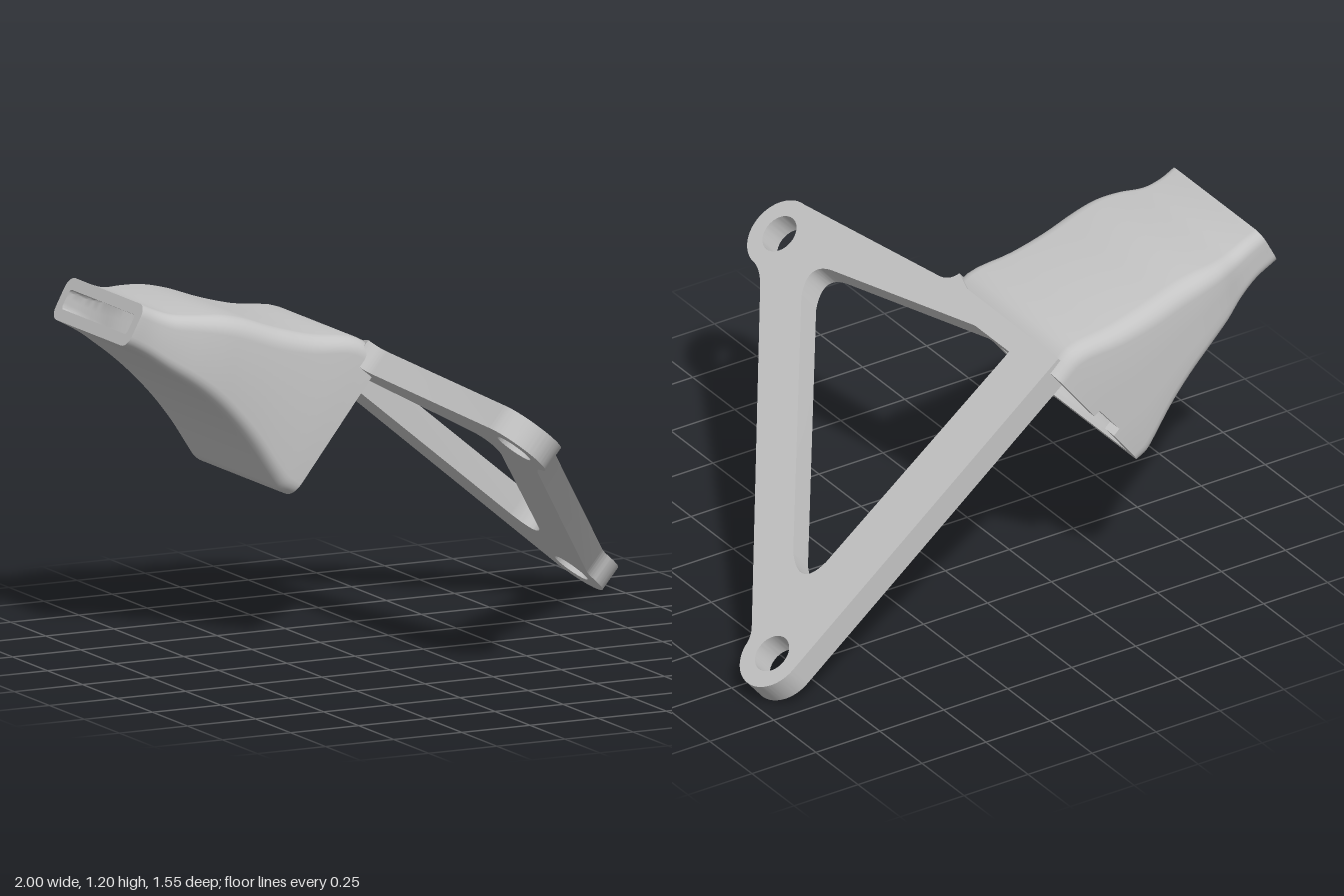
import * as THREE from 'three';
import { toCreasedNormals } from 'three/addons/utils/BufferGeometryUtils.js';

const SLOPE = THREE.MathUtils.degToRad(39.8);
const along = new THREE.Vector3(Math.cos(SLOPE), -Math.sin(SLOPE), 0); // down the plate
const normal = new THREE.Vector3(Math.sin(SLOPE), Math.cos(SLOPE), 0); // out of its top face

// Top edge of the duct: x, y, half width
const topLine = new THREE.CatmullRomCurve3([
  [-0.93, 1.203, 0.272], [-0.88, 1.18, 0.272], [-0.82, 1.16, 0.285], [-0.74, 1.155, 0.315],
  [-0.66, 1.15, 0.33], [-0.58, 1.132, 0.332], [-0.46, 1.09, 0.332], [-0.33, 1.055, 0.332],
  [-0.16, 1.027, 0.332], [-0.085, 0.962, 0.332],
].map(p => new THREE.Vector3(...p)));

// Bottom edge of the duct: x, y, corner radius
const bottomLine = new THREE.CatmullRomCurve3([
  [-1.0, 1.07, 0.04], [-0.92, 1.025, 0.042], [-0.85, 0.975, 0.045], [-0.78, 0.925, 0.05],
  [-0.7, 0.855, 0.06], [-0.62, 0.77, 0.065], [-0.55, 0.68, 0.065], [-0.49, 0.59, 0.06],
  [-0.46, 0.55, 0.055], [-0.42, 0.53, 0.05],
].map(p => new THREE.Vector3(...p)));

const CENTRE_Z = -0.443, WALL = 0.04, STEPS = 36, CORNER = 6;
const NOTCH_END = bottomLine.points[9].x * along.x + bottomLine.points[9].y * along.y - 0.035;

// Rounded rectangle ring of the duct at t, shrunk by inset
function ductRing(t, inset) {
  const T = topLine.getPoint(t), B = bottomLine.getPoint(t);
  const w = T.z - inset, r = Math.max(B.z - inset, 0.012);
  T.z = B.z = CENTRE_Z;
  const up = T.clone().sub(B);
  const h = up.length() / 2 - inset;
  up.normalize();
  const mid = T.add(B).multiplyScalar(0.5);
  const ring = [];
  const add = (v, z) => {
    const p = mid.clone().addScaledVector(up, v);
    p.z += z;
    ring.push(p);
    return p;
  };
  for (let k = 0; k < 4; k++) {
    const sv = k === 0 || k === 3 ? 1 : -1, sz = k < 2 ? 1 : -1;
    for (let i = 0; i <= CORNER; i++) {
      const a = (k + i / CORNER) * Math.PI / 2;
      add(sv * (h - r) + r * Math.cos(a), sz * (w - r) + r * Math.sin(a));
    }
    // Small notch in the rear wall at the outlet
    if (k === 2) [-0.36, -0.355, 0.085, 0.09].forEach((f, i) => {
      const p = add(f * h, -w);
      const over = p.dot(along) - NOTCH_END;
      if ((i === 1 || i === 2) && over > 0) p.addScaledVector(along, -over);
    });
  }
  return ring;
}

// Hollow duct: outer skin forward, inner skin back, joined at both rims
function ductGeometry() {
  const rings = [];
  for (let i = 0; i <= STEPS; i++) rings.push(ductRing(i / STEPS, 0));
  for (let i = STEPS; i >= 0; i--) rings.push(ductRing(i / STEPS, WALL));
  const n = rings[0].length, index = [];
  for (let i = 0; i < rings.length; i++) {
    const next = (i + 1) % rings.length;
    for (let j = 0; j < n; j++) {
      const k = (j + 1) % n;
      const a = i * n + j, b = i * n + k, c = next * n + j, d = next * n + k;
      index.push(a, b, c, b, d, c);
    }
  }
  const geo = new THREE.BufferGeometry().setFromPoints(rings.flat());
  geo.setIndex(index);
  return toCreasedNormals(geo, 0.6);
}

// Triangular plate with two bosses; shape x runs down the slope, y is -z
function plateGeometry() {
  const thickness = 0.09, R = 0.125;
  const shape = new THREE.Shape();
  shape.moveTo(-0.01, 0.742);
  shape.lineTo(1.325, 0.725);
  shape.absarc(1.325, 0.6, R, Math.PI / 2, -1.3, true);
  shape.quadraticCurveTo(1.325, 0.475, 1.3, 0.45);
  shape.lineTo(0.4, -0.55);
  shape.quadraticCurveTo(0.35, -0.605, 0.345, -0.65);
  shape.absarc(0.22, -0.645, R, -0.04, -Math.PI, true);
  shape.lineTo(0.012, 0.06);
  shape.quadraticCurveTo(0.005, 0.11, -0.035, 0.125);
  shape.lineTo(-0.01, 0.2);
  shape.closePath();

  const opening = new THREE.Path();
  opening.moveTo(0.07, 0.543);
  opening.lineTo(0.07, 0.34);
  opening.lineTo(0.21, -0.34);
  opening.quadraticCurveTo(0.235, -0.46, 0.34, -0.375);
  opening.lineTo(1.02, 0.37);
  opening.quadraticCurveTo(1.11, 0.5, 0.98, 0.518);
  opening.closePath();
  shape.holes.push(opening);

  // Bolt holes
  for (const [s, q] of [[0.22, -0.645], [1.325, 0.6]]) {
    const bolt = new THREE.Path();
    bolt.absarc(s, q, 0.066, 0, Math.PI * 2, false);
    shape.holes.push(bolt);
  }

  const geo = new THREE.ExtrudeGeometry(shape, { depth: thickness, bevelEnabled: false, curveSegments: 24 });
  const place = new THREE.Matrix4().makeBasis(along, new THREE.Vector3(0, 0, -1), normal);
  place.setPosition(new THREE.Vector3(-0.11, 1.0, 0).addScaledVector(normal, -thickness));
  geo.applyMatrix4(place);
  return toCreasedNormals(geo, 0.6);
}

export function createModel() {
  const group = new THREE.Group();
  group.name = 'ductBracket';
  const grey = new THREE.MeshStandardMaterial({ color: 0xc4c4c4 });
  grey.name = 'lightGrey';

  const duct = new THREE.Mesh(ductGeometry(), grey);
  duct.name = 'airDuct';
  const plate = new THREE.Mesh(plateGeometry(), grey);
  plate.name = 'mountingPlate';
  group.add(duct, plate);
  return group;
}
